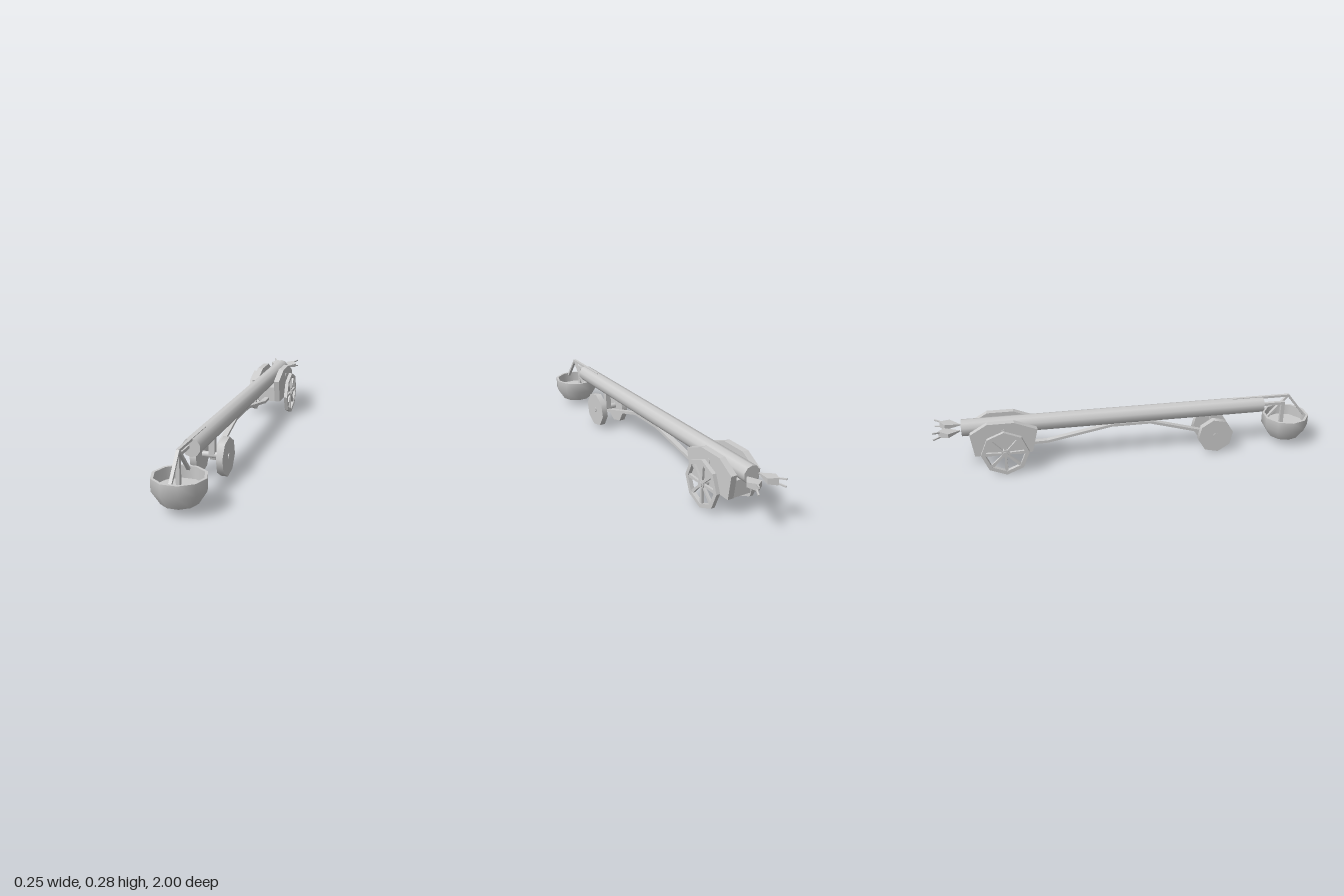
import * as THREE from 'three';
import { ConvexGeometry } from 'three/addons/geometries/ConvexGeometry.js';

const mat = new THREE.MeshStandardMaterial({ color: 0xcccccc });
const matDouble = new THREE.MeshStandardMaterial({ color: 0xcccccc, side: THREE.DoubleSide });
const matFlat = new THREE.MeshStandardMaterial({ color: 0xcccccc, side: THREE.DoubleSide, flatShading: true });

export function createModel() {
  const root = new THREE.Group();

  function add(name, geo, x = 0, y = 0, z = 0, parent = root, material = mat) {
    const m = new THREE.Mesh(geo, material);
    m.name = name;
    m.position.set(x, y, z);
    parent.add(m);
    return m;
  }
  // Square bar between two [x, y, z] points
  function bar(name, a, b, w, h, parent = root) {
    const p = new THREE.Vector3(...a), q = new THREE.Vector3(...b);
    const m = add(name, new THREE.BoxGeometry(w, h, p.distanceTo(q)), 0, 0, 0, parent);
    m.position.copy(p).lerp(q, 0.5);
    m.lookAt(q);
    return m;
  }
  // Cylinder lying along x
  const rodX = (r, len, sides, turn = 0) =>
    new THREE.CylinderGeometry(r, r, len, sides).rotateY(turn).rotateZ(Math.PI / 2);
  // Side outline of [z, y] points, extruded symmetrically along x
  function sidePlate(shape, width) {
    return new THREE.ExtrudeGeometry(shape, { depth: width, bevelEnabled: false })
      .translate(0, 0, -width / 2).rotateY(-Math.PI / 2);
  }
  const ring = (r, n) => Array.from({ length: n }, (_, i) =>
    new THREE.Vector2(r * Math.cos(i * 2 * Math.PI / n), r * Math.sin(i * 2 * Math.PI / n)));

  // Long main beam
  add('beam', new THREE.CylinderGeometry(0.044, 0.044, 1.6, 10).rotateX(Math.PI / 2), 0, 0.23, -0.06);

  // Bowl: open below, with a raised floor inside
  const bowl = new THREE.Group();
  bowl.name = 'bowl';
  bowl.position.z = 0.88;
  root.add(bowl);
  const lathe = (pts) => new THREE.LatheGeometry(pts.map(p => new THREE.Vector2(...p)), 10, Math.PI / 2);
  add('bowlWall', lathe([[0.085, 0.037], [0.125, 0.1], [0.125, 0.158]]), 0, 0, 0, bowl, matDouble);
  add('bowlRim', lathe([[0.125, 0.158], [0.112, 0.158]]), 0, 0, 0, bowl, matDouble);
  add('bowlLining', lathe([[0.112, 0.158], [0.112, 0.1]]), 0, 0, 0, bowl, matDouble);
  add('bowlFloor', new THREE.CircleGeometry(0.124, 10).rotateX(-Math.PI / 2), 0, 0.1, 0, bowl, matDouble);

  // Hanger that carries the bowl
  bar('hangerTop', [0, 0.269, 0.57], [0, 0.269, 0.89], 0.015, 0.012);
  bar('hangerBrace', [0, 0.27, 0.885], [0, 0.145, 0.985], 0.015, 0.012);
  bar('hangerBrace', [0, 0.27, 0.885], [0, 0.145, 0.775], 0.015, 0.012);
  bar('hangerArm', [-0.016, 0.234, 0.72], [-0.016, 0.234, 0.862], 0.018, 0.015);
  add('hangerPost', new THREE.BoxGeometry(0.018, 0.141, 0.02), -0.016, 0.1705, 0.852);

  // Front axle, its strut and the solid wheels
  add('frontAxle', rodX(0.016, 0.17, 8), 0, 0.1, 0.465);
  add('frontStrut', new THREE.BoxGeometry(0.03, 0.1, 0.03), 0, 0.15, 0.465);

  // Linkage bar under the beam
  const path = [[0, 0.08, 0.465], [0, 0.178, 0.12], [0, 0.178, -0.09], [0, 0.114, -0.43], [0, 0.114, -0.53]];
  for (let i = 1; i < path.length; i++) bar('linkage', path[i - 1], path[i], 0.028, 0.014);

  // Rear carriage body and its cross pieces
  add('carriageBody', new THREE.BoxGeometry(0.104, 0.083, 0.29), 0, 0.1415, -0.655);
  add('rearAxle', rodX(0.014, 0.25, 8), 0, 0.122, -0.65);
  add('beamPin', rodX(0.013, 0.168, 8), 0, 0.23, -0.65);

  const plate = new THREE.Shape([[-0.48, 0.228], [-0.595, 0.275], [-0.73, 0.275],
    [-0.82, 0.222], [-0.803, 0.1], [-0.51, 0.1]].map(p => new THREE.Vector2(...p)));
  const plateGeo = sidePlate(plate, 0.031);

  const rim = new THREE.Shape(ring(0.122, 8));
  rim.holes.push(new THREE.Path(ring(0.102, 8).reverse()));
  const rimGeo = sidePlate(rim, 0.02);
  const spoke = new THREE.Shape([[-0.005, 0.015], [0.005, 0.015], [0.009, 0.106], [-0.009, 0.106]]
    .map(p => new THREE.Vector2(...p)));
  const spokeGeo = sidePlate(spoke, 0.012);

  for (const s of [1, -1]) {
    add('frontWheel', rodX(0.096, 0.032, 8, 0.17), s * 0.065, 0.099, 0.465);
    add('carriageSide', plateGeo, s * 0.065, 0, 0);

    // Spoked rear wheel
    const wheel = new THREE.Group();
    wheel.name = 'rearWheel';
    wheel.position.set(s * 0.11, 0.122, -0.65);
    root.add(wheel);
    add('rim', rimGeo, 0, 0, 0, wheel);
    add('hub', rodX(0.022, 0.02, 8), 0, 0, 0, wheel);
    for (let i = 0; i < 8; i++) add('spoke', spokeGeo, 0, 0, 0, wheel).rotation.x = i * Math.PI / 4;

    // Tail claw: a flared wedge ending in two prongs
    const claw = [[0.033, -0.865, 0.003], [0.015, -0.945, 0.014], [0.055, -0.972, 0.018], [0.08, -0.922, 0.011]];
    const pts = claw.flatMap(([x, z, t]) => [t, -t].map(dy => new THREE.Vector3(s * x, 0.23 + dy, z)));
    add('claw', new ConvexGeometry(pts), 0, 0, 0, root, matFlat);
    for (const u of [1, -1])
      bar('clawProng', [s * 0.056, 0.23 + u * 0.012, -0.96], [s * 0.075, 0.23 + u * 0.018, -0.998], 0.007, 0.007);
  }
  return root;
}
